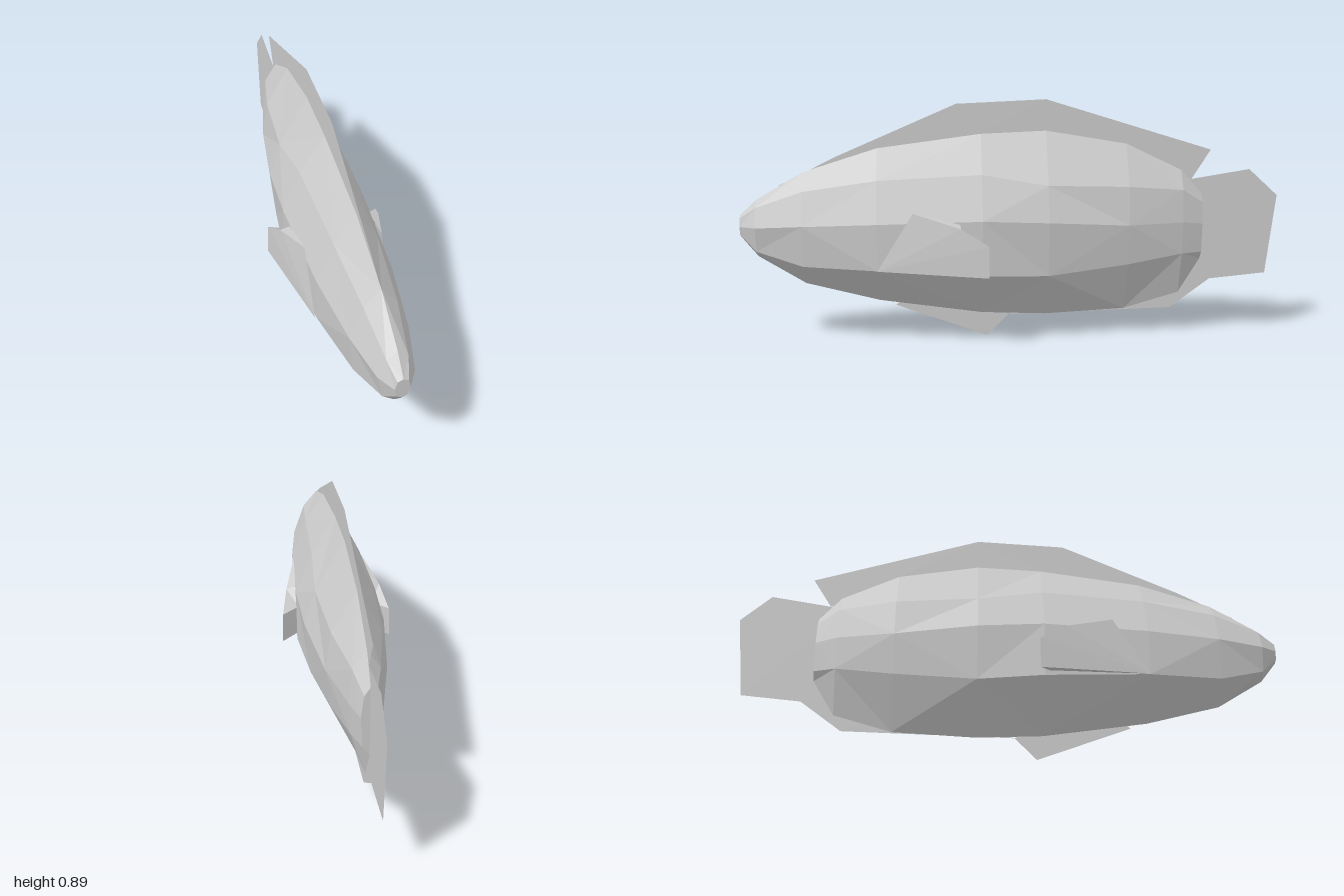
import * as THREE from 'three';

const CX = -0.015; // plane of the spine

// Non-indexed geometry from a list of triangles, so every facet is flat
function facets(tris) {
  const g = new THREE.BufferGeometry();
  g.setAttribute('position', new THREE.Float32BufferAttribute(tris.flat(2), 3));
  g.computeVertexNormals();
  return g;
}

// Body sections: z, top y, [half width, y] of shoulder, flank and keel ridge, bottom y
const SECTIONS = [
  [1.0, 0.48, [0.018, 0.47], [0.025, 0.44], [0.018, 0.41], 0.40],
  [0.94, 0.535, [0.035, 0.51], [0.06, 0.44], [0.04, 0.35], 0.325],
  [0.77, 0.635, [0.055, 0.57], [0.098, 0.45], [0.08, 0.30], 0.22],
  [0.5, 0.72, [0.075, 0.61], [0.132, 0.46], [0.13, 0.29], 0.15],
  [0.12, 0.77, [0.09, 0.63], [0.152, 0.47], [0.15, 0.27], 0.095],
  [-0.12, 0.78, [0.105, 0.59], [0.145, 0.46], [0.125, 0.26], 0.085],
  [-0.42, 0.73, [0.085, 0.58], [0.105, 0.44], [0.085, 0.29], 0.10],
  [-0.63, 0.63, [0.045, 0.56], [0.058, 0.44], [0.05, 0.32], 0.16],
  [-0.71, 0.54, [0.02, 0.51], [0.03, 0.43], [0.022, 0.32], 0.29],
];

function bodyGeometry() {
  const rings = SECTIONS.map(([z, top, a, b, c, bottom]) => {
    const side = [a, b, c];
    return [
      [CX, top, z],
      ...side.map(([w, y]) => [CX + w, y, z]),
      [CX, bottom, z],
      ...side.reverse().map(([w, y]) => [CX - w, y, z]),
    ];
  });
  const tris = [];
  const n = rings[0].length;
  for (let i = 0; i < rings.length - 1; i++) {
    for (let j = 0; j < n; j++) {
      const k = (j + 1) % n;
      const a = rings[i][j], b = rings[i][k], c = rings[i + 1][k], d = rings[i + 1][j];
      // alternate the diagonals for a faceted skin
      if ((i + j) % 2) tris.push([a, d, b], [b, d, c]);
      else tris.push([a, d, c], [a, c, b]);
    }
  }
  // snout and tail-root caps
  const first = rings[0], last = rings[rings.length - 1];
  for (let j = 1; j < n - 1; j++) {
    tris.push([first[0], first[j + 1], first[j]]);
    tris.push([last[0], last[j], last[j + 1]]);
  }
  return facets(tris);
}

// Flat fins on the centre plane, outlined as [z, y]
const FINS = {
  dorsalFin: [[0.86, 0.585], [0.65, 0.69], [0.21, 0.88], [-0.12, 0.895], [-0.74, 0.705],
    [-0.67, 0.595], [-0.5, 0.6], [0.3, 0.68]],
  tailFin: [[-0.6, 0.58], [-0.67, 0.595], [-0.89, 0.63], [-1, 0.53], [-0.965, 0.23],
    [-0.75, 0.21], [-0.6, 0.25]],
  analFin: [[0.02, 0.085], [-0.6, 0.1], [-0.75, 0.21], [-0.68, 0.34], [-0.4, 0.2]],
  pelvicFin: [[0.44, 0.13], [0.1, 0.005], [0.02, 0.085], [0.1, 0.14], [0.4, 0.17]],
};

// Side fin hugging the flank and flaring out at its rear edge
function pectoralGeometry(s) {
  const p = (w, y, z) => [CX + s * w, y, z];
  const outer = [p(0.138, 0.5, 0.37), p(0.182, 0.45, 0.2), p(0.205, 0.39, 0.1),
    p(0.208, 0.275, 0.1), p(0.135, 0.29, 0.5)];
  const root = [p(0.145, 0.46, 0.2), p(0.142, 0.4, 0.14), p(0.142, 0.29, 0.14)];
  const [a, b, c, d, e] = outer;
  const [f, g, h] = root;
  const tris = [[a, e, b], [b, e, c], [c, e, d], // outer face
    [a, b, f], [b, c, g], [b, g, f], [c, d, h], [c, h, g], [d, e, h]]; // rear and inner face
  return facets(s > 0 ? tris : tris.map(([x, y, z]) => [x, z, y]));
}

export function createModel() {
  const group = new THREE.Group();
  group.name = 'fish';
  const grey = new THREE.MeshStandardMaterial({
    color: 0xcccccc, flatShading: true, side: THREE.DoubleSide,
  });
  grey.name = 'grey';

  const add = (name, geometry) => {
    const mesh = new THREE.Mesh(geometry, grey);
    mesh.name = name;
    group.add(mesh);
  };

  add('body', bodyGeometry());
  for (const [name, outline] of Object.entries(FINS)) {
    const shape = new THREE.Shape(outline.map(([z, y]) => new THREE.Vector2(z, y)));
    add(name, new THREE.ShapeGeometry(shape).rotateY(-Math.PI / 2).translate(CX, 0, 0));
  }
  add('leftPectoralFin', pectoralGeometry(1));
  add('rightPectoralFin', pectoralGeometry(-1));
  return group;
}
